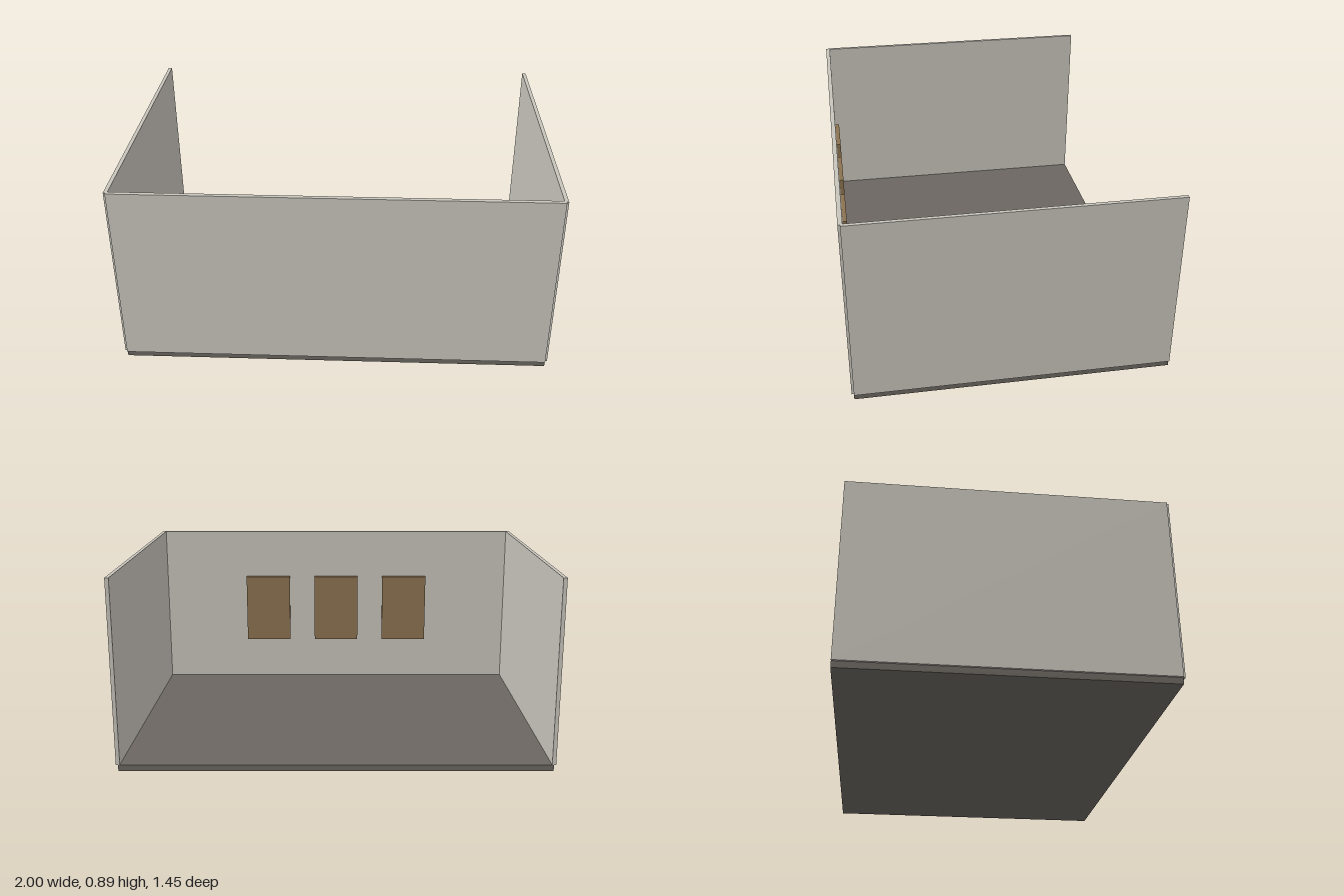
import * as THREE from 'three';

const wallPaint = new THREE.MeshStandardMaterial({ name: 'wallPaint', color: 0xc8c4bc });
const floorGrey = new THREE.MeshStandardMaterial({ name: 'floorGrey', color: 0x6b6660 });
const panelBrown = new THREE.MeshStandardMaterial({ name: 'panelBrown', color: 0x8b7350 });

// Box given by its lower and upper corners
function slab(name, material, min, max) {
  const size = max.map((v, i) => v - min[i]);
  const mesh = new THREE.Mesh(new THREE.BoxGeometry(...size), material);
  mesh.position.set(...max.map((v, i) => (v + min[i]) / 2));
  mesh.name = name;
  return mesh;
}

export function createModel() {
  const room = new THREE.Group();
  room.name = 'openRoom';
  const base = 0.03, top = 0.893, back = -0.723;

  room.add(slab('floor', floorGrey, [-0.99, 0, back], [0.99, base, 0.713]));
  room.add(slab('frontWall', wallPaint, [-0.99, base, 0.703], [0.99, top, 0.723]));

  // Side walls straddle the floor edges and stop inside the front wall
  room.add(slab('leftWall', wallPaint, [0.982, base, back], [1, top, 0.713]));
  room.add(slab('rightWall', wallPaint, [-1, base, back], [-0.982, top, 0.713]));

  // Three framed panels hung on the inside of the front wall
  for (const x of [-0.396, 0, 0.396]) {
    room.add(slab('wallPanel', panelBrown, [x - 0.126, 0.255, 0.684], [x + 0.126, 0.63, 0.704]));
  }
  return room;
}
